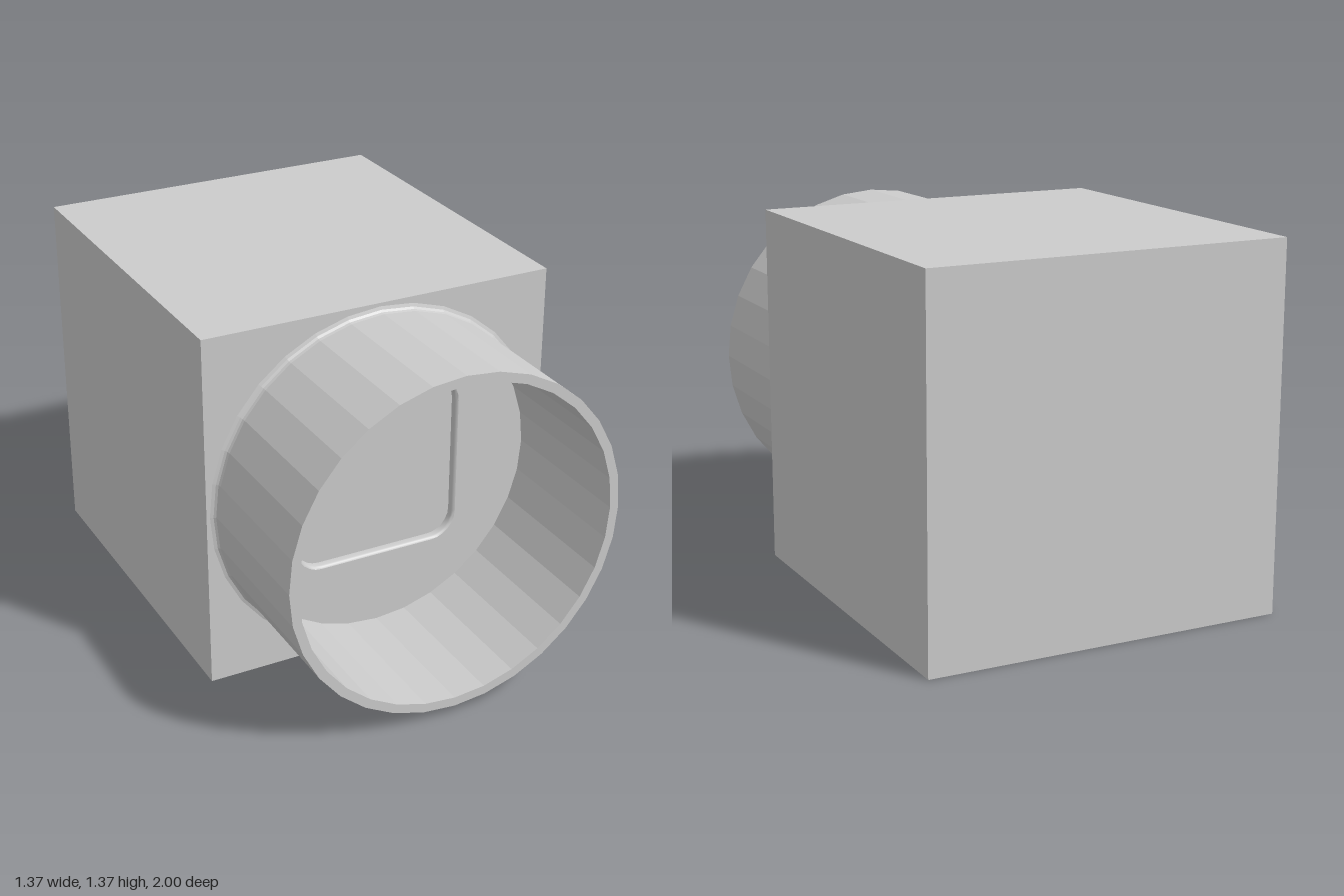
import * as THREE from 'three';
import { toCreasedNormals } from 'three/addons/utils/BufferGeometryUtils.js';

const HALF = 0.685;    // half width of the block, also its centre height
const FACE_Z = 0.42;   // front face of the block
const FLOOR_Z = 0.388; // bottom of the shallow pocket

// Counter-clockwise outline of a square with rounded corners
function roundedSquare(half, radius, steps = 6) {
  const points = [];
  for (let corner = 0; corner < 4; corner++) {
    const start = corner * Math.PI / 2;
    const cx = (corner === 0 || corner === 3 ? 1 : -1) * (half - radius);
    const cy = (corner < 2 ? 1 : -1) * (half - radius);
    for (let i = 0; i <= steps; i++) {
      const a = start + (i / steps) * Math.PI / 2;
      points.push(new THREE.Vector2(cx + radius * Math.cos(a), cy + radius * Math.sin(a)));
    }
  }
  return points;
}

// Inward-facing wall joining outlines from front to back
function pocketWall(sections) {
  const positions = [];
  const index = [];
  const loops = sections.map(([half, radius, z]) => {
    const loop = roundedSquare(half, radius);
    loop.forEach((p) => positions.push(p.x, p.y, z));
    return loop;
  });
  const n = loops[0].length;
  for (let s = 0; s < loops.length - 1; s++) {
    for (let i = 0; i < n; i++) {
      const a = s * n + i;
      const b = s * n + (i + 1) % n;
      index.push(a, b, a + n, b, b + n, a + n);
    }
  }
  const geometry = new THREE.BufferGeometry();
  geometry.setAttribute('position', new THREE.Float32BufferAttribute(positions, 3));
  geometry.setIndex(index);
  return toCreasedNormals(geometry, 0.9);
}

export function createModel() {
  const model = new THREE.Group();
  const grey = new THREE.MeshStandardMaterial({ color: 0xcccccc });
  const faceted = new THREE.MeshStandardMaterial({ color: 0xcccccc, flatShading: true });

  function add(name, geometry, material = grey, z = 0) {
    const mesh = new THREE.Mesh(geometry, material);
    mesh.name = name;
    mesh.position.set(0, HALF, z);
    model.add(mesh);
  }

  // Block, with its front side left open for the pocketed face
  const depth = FACE_Z + 1;
  const block = new THREE.BoxGeometry(2 * HALF, 2 * HALF, depth);
  const sides = Array.from(block.index.array);
  sides.splice(24, 6);
  block.setIndex(sides);
  block.clearGroups();
  add('block', block, grey, FACE_Z - depth / 2);

  // Front face with the rounded square opening
  const face = new THREE.Shape([
    new THREE.Vector2(-HALF, -HALF), new THREE.Vector2(HALF, -HALF),
    new THREE.Vector2(HALF, HALF), new THREE.Vector2(-HALF, HALF),
  ]);
  face.holes.push(new THREE.Path(roundedSquare(0.332, 0.1)));
  add('frontFace', new THREE.ShapeGeometry(face), grey, FACE_Z);

  // Shallow pocket with a softened rim
  add('pocketWall', pocketWall([
    [0.332, 0.1, FACE_Z],
    [0.325, 0.093, FACE_Z - 0.003],
    [0.322, 0.09, FACE_Z - 0.01],
    [0.322, 0.09, FLOOR_Z],
  ]));
  add('pocketFloor', new THREE.ShapeGeometry(new THREE.Shape(roundedSquare(0.322, 0.09))), grey, FLOOR_Z);

  // Open round collar, flaring slightly where it meets the block
  const profile = [
    [0.672, FACE_Z], [0.66, 0.424], [0.653, 0.431], [0.65, 0.442],
    [0.65, 1], [0.615, 1], [0.615, FACE_Z],
  ].map(([r, h]) => new THREE.Vector2(r, h));
  const collar = new THREE.LatheGeometry(profile, 32);
  collar.rotateX(Math.PI / 2);
  add('collar', collar, faceted);

  return model;
}
